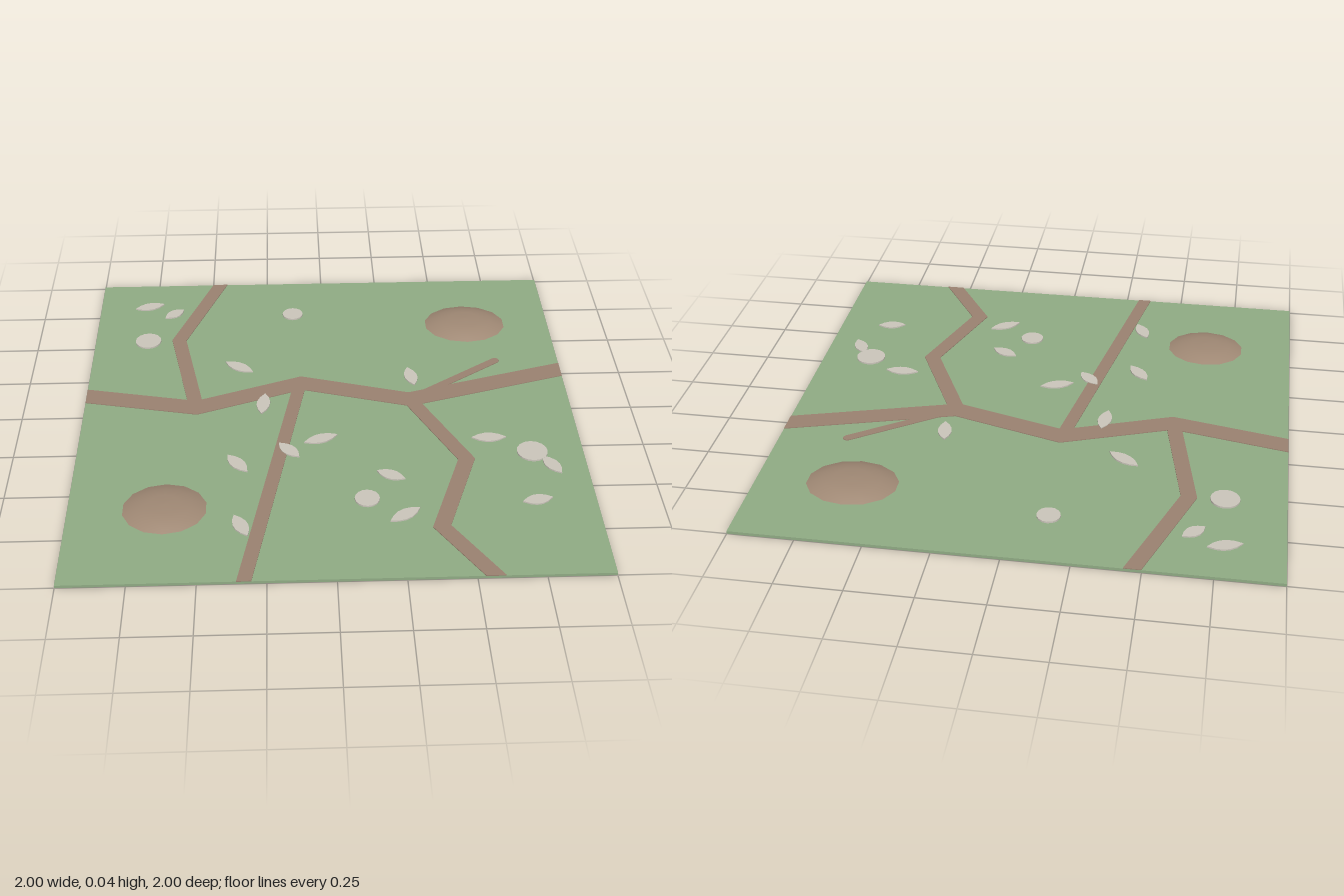
import * as THREE from 'three';

const GROUND = 0.011;

export function createModel() {
  const model = new THREE.Group();
  const material = (name, color) => {
    const m = new THREE.MeshStandardMaterial({ color });
    m.name = name;
    return m;
  };
  const grass = material('grass green', 0x8fab84);
  const earth = material('path brown', 0x9a8270);
  const soil = material('mound brown', 0x9f8874);
  const stone = material('pale stone', 0xcac5ba);

  const add = (name, geometry, mat, x = 0, y = 0, z = 0) => {
    const mesh = new THREE.Mesh(geometry, mat);
    mesh.name = name;
    mesh.position.set(x, y, z);
    model.add(mesh);
    return mesh;
  };
  // Flat plate from a shape drawn in (x, -z), rising from y = 0
  const plate = (shape, depth) =>
    new THREE.ExtrudeGeometry(shape, { depth, bevelEnabled: false, curveSegments: 5 }).rotateX(-Math.PI / 2);

  // Ground slab
  add('ground', new THREE.BoxGeometry(2, GROUND, 2), grass, 0, GROUND / 2, 0);

  // Mitred ribbon; ends lying on the slab border are cut along that border
  function ribbon(points, width) {
    const p = points.map(([x, z]) => new THREE.Vector2(x, -z));
    const normals = p.slice(1).map((b, i) => {
      const d = b.clone().sub(p[i]).normalize();
      return new THREE.Vector2(-d.y, d.x);
    });
    const left = [], right = [];
    p.forEach((c, i) => {
      const n = normals[Math.max(i - 1, 0)];
      const m = n.clone().add(normals[Math.min(i, normals.length - 1)]).normalize();
      if (Math.abs(c.x) === 1) m.set(0, 1);
      if (Math.abs(c.y) === 1) m.set(1, 0);
      m.multiplyScalar(width / 2 / m.dot(n));
      left.push(c.clone().add(m));
      right.unshift(c.clone().sub(m));
    });
    return new THREE.Shape([...left, ...right]);
  }

  // Paths
  const paths = [
    ['mainPath', 0.09, [[-1, -0.135], [-0.54, -0.04], [-0.105, -0.2], [0.34, -0.07], [1, -0.265]]],
    ['backBranch', 0.06, [[-0.54, -0.04], [-0.635, -0.54], [-0.467, -1]]],
    ['frontBranch', 0.053, [[-0.112, -0.19], [-0.332, 1]]],
    ['windingBranch', 0.062, [[0.34, -0.07], [0.533, 0.335], [0.398, 0.73], [0.565, 1]]],
    ['twigPath', 0.035, [[0.34, -0.07], [0.73, -0.34]]],
  ];
  for (const [name, width, points] of paths) {
    add(name, plate(ribbon(points, width), 0.004), earth, 0, GROUND - 0.001, 0);
  }
  add('twigPathEnd', new THREE.CylinderGeometry(0.0175, 0.0175, 0.004, 12), earth, 0.73, GROUND + 0.001, -0.34);

  // Low earth mounds
  const profile = [[1, 0], [0.88, 0.27], [0.65, 0.72], [0.36, 0.96], [0, 1]].map(([r, y]) => new THREE.Vector2(r, y));
  const mounds = [
    ['rightMound', 0.63, -0.635, 0.18, 0.147, 0.031],
    ['leftMound', -0.635, 0.595, 0.163, 0.147, 0.027],
  ];
  for (const [name, x, z, rx, rz, h] of mounds) {
    add(name, new THREE.LatheGeometry(profile, 14).scale(rx, h, rz), soil, x, GROUND - 0.001, z);
  }

  // Leaf-shaped stones: tip to tip as x1, z1, x2, z2
  const leaves = [
    [-0.845, -0.8, -0.717, -0.837], [-0.706, -0.72, -0.626, -0.789], [-0.428, -0.366, -0.31, -0.286],
    [-0.257, -0.126, -0.273, 0.013], [0.348, -0.297, 0.369, -0.168], [-0.102, 0.211, 0.032, 0.163],
    [-0.203, 0.211, -0.123, 0.302], [-0.406, 0.281, -0.326, 0.388], [-0.374, 0.644, -0.321, 0.762],
    [0.176, 0.398, 0.283, 0.452], [0.209, 0.698, 0.326, 0.623], [0.567, 0.201, 0.706, 0.201],
    [0.834, 0.329, 0.893, 0.436], [0.717, 0.602, 0.834, 0.58],
  ];
  for (const [x1, z1, x2, z2] of leaves) {
    const half = Math.hypot(x2 - x1, z2 - z1) / 2;
    const shape = new THREE.Shape();
    shape.moveTo(-half, 0);
    shape.quadraticCurveTo(0, -0.056, half, 0);
    shape.quadraticCurveTo(0, 0.056, -half, 0);
    const leaf = add('leafStone', plate(shape, 0.007), stone, (x1 + x2) / 2, GROUND - 0.001, (z1 + z2) / 2);
    leaf.rotation.y = -Math.atan2(z2 - z1, x2 - x1);
  }

  // Round stones
  const rounds = [[-0.135, -0.735, 0.045], [-0.77, -0.537, 0.056], [0.797, 0.297, 0.061], [0.13, 0.564, 0.048]];
  for (const [x, z, r] of rounds) {
    add('roundStone', new THREE.CylinderGeometry(r, r, 0.008, 16), stone, x, GROUND + 0.003, z);
  }
  return model;
}
